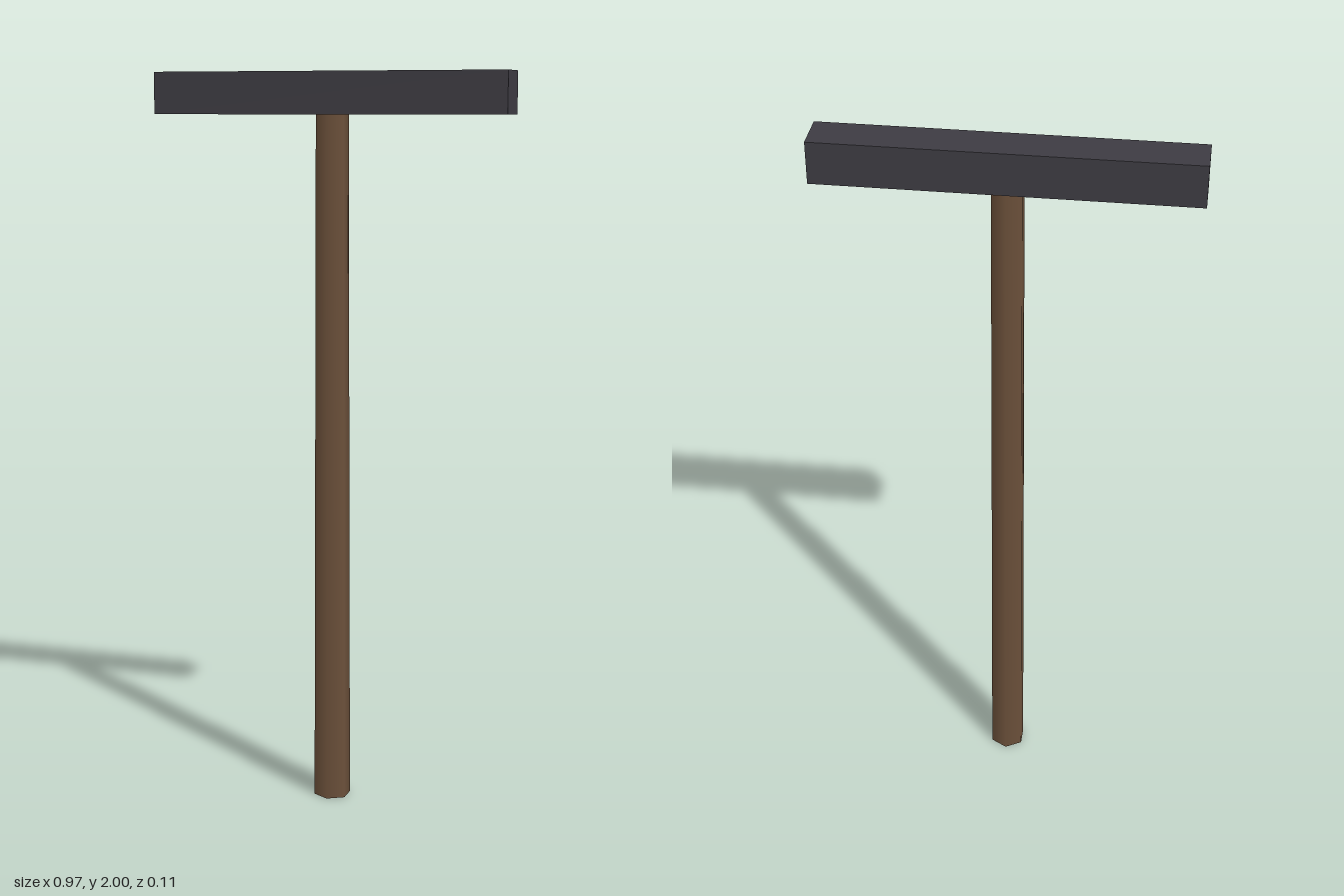
import * as THREE from 'three';

export function createModel() {
  const group = new THREE.Group();
  const wood = new THREE.MeshStandardMaterial({ color: 0x6b503a });
  wood.name = 'brown wood';
  const iron = new THREE.MeshStandardMaterial({ color: 0x3d3b42 });
  iron.name = 'dark iron';

  const top = 2, headHeight = 0.112;

  // Six-sided shaft, slightly thicker at the foot, ending under the head
  const shaftHeight = top - headHeight;
  const handle = new THREE.Mesh(new THREE.CylinderGeometry(0.0445, 0.051, shaftHeight, 6), wood);
  handle.name = 'handle';
  handle.position.y = shaftHeight / 2;

  // Square bar across the top
  const head = new THREE.Mesh(new THREE.BoxGeometry(0.973, headHeight, 0.112), iron);
  head.name = 'head';
  head.position.y = top - headHeight / 2;

  group.add(handle, head);
  return group;
}
